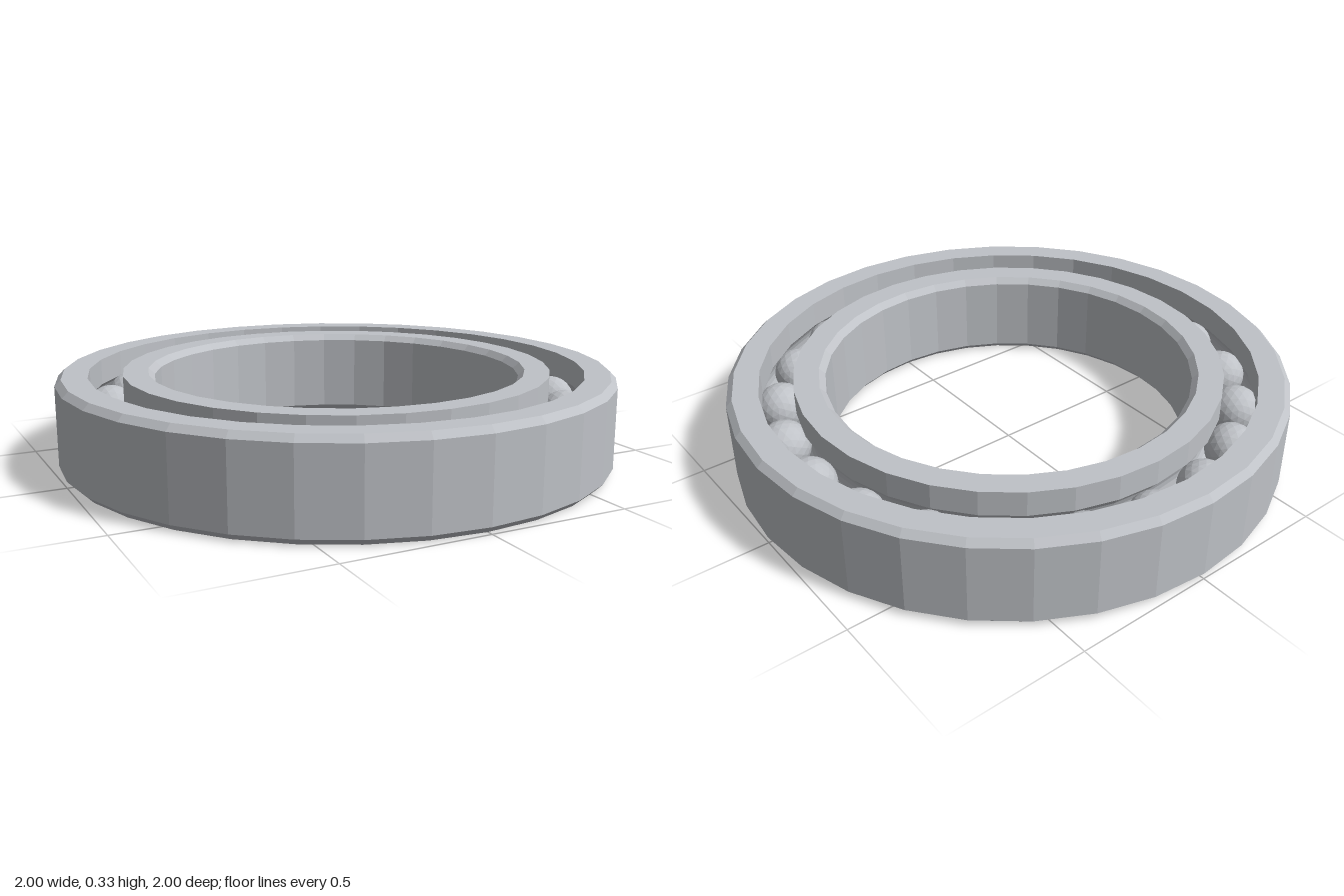
import * as THREE from 'three';

const HEIGHT = 0.326, MID = HEIGHT / 2, BEVEL = 0.022;
const BALL_COUNT = 21, BALL_RADIUS = 0.091, PITCH_RADIUS = 0.826;
const GROOVE_RADIUS = 0.093, SEGMENTS = 32;

// Points of the ball groove cut into a wall; side is -1 for the inner wall, 1 for the outer
function groove(wall, side, steps = 8) {
  const half = Math.acos(Math.abs(wall - PITCH_RADIUS) / GROOVE_RADIUS);
  const points = [];
  for (let i = 0; i <= steps; i++) {
    const a = -half + (2 * half * i) / steps;
    points.push([PITCH_RADIUS + side * GROOVE_RADIUS * Math.cos(a), MID + GROOVE_RADIUS * Math.sin(a)]);
  }
  return points;
}

function ring(name, profile, material) {
  const points = profile.map(([r, y]) => new THREE.Vector2(r, y));
  points.push(points[0].clone());
  const mesh = new THREE.Mesh(new THREE.LatheGeometry(points, SEGMENTS).toNonIndexed(), material);
  mesh.geometry.computeVertexNormals();
  mesh.name = name;
  return mesh;
}

export function createModel() {
  const model = new THREE.Group();
  model.name = 'ballBearing';
  const steel = new THREE.MeshStandardMaterial({ color: 0xbfc2c7 });
  steel.name = 'steel';

  // Outer race: bevelled outside, grooved inside
  const outerWall = 0.888;
  model.add(ring('outerRace', [
    [outerWall, 0], [1 - BEVEL, 0], [1, BEVEL], [1, HEIGHT - BEVEL],
    [1 - BEVEL, HEIGHT], [outerWall, HEIGHT],
    ...groove(outerWall, 1).reverse(),
  ], steel));

  // Inner race: bevelled bore, grooved outside
  const bore = 0.657, innerWall = 0.768;
  model.add(ring('innerRace', [
    [bore + BEVEL, 0], [innerWall, 0],
    ...groove(innerWall, -1),
    [innerWall, HEIGHT], [bore + BEVEL, HEIGHT], [bore, HEIGHT - BEVEL], [bore, BEVEL],
  ], steel));

  // Balls running between the races
  const balls = new THREE.Group();
  balls.name = 'balls';
  const ballGeometry = new THREE.IcosahedronGeometry(BALL_RADIUS, 3);
  ballGeometry.computeVertexNormals();
  for (let i = 0; i < BALL_COUNT; i++) {
    const a = (i / BALL_COUNT) * Math.PI * 2;
    const ball = new THREE.Mesh(ballGeometry, steel);
    ball.name = 'ball' + (i + 1);
    ball.position.set(PITCH_RADIUS * Math.cos(a), MID, PITCH_RADIUS * Math.sin(a));
    ball.rotation.y = -a;
    balls.add(ball);
  }
  model.add(balls);
  return model;
}
